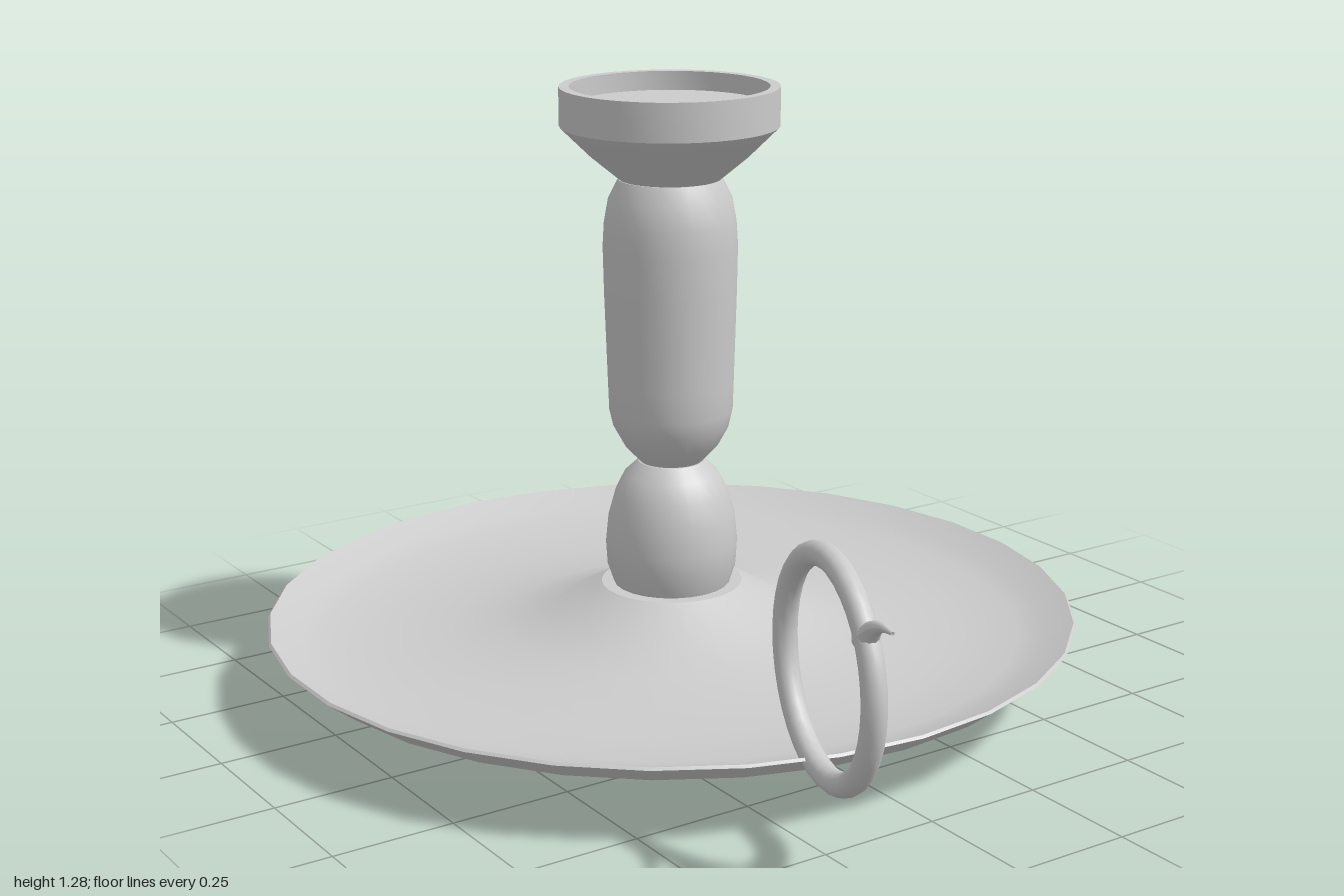
import * as THREE from 'three';
import { toCreasedNormals } from 'three/addons/utils/BufferGeometryUtils.js';

const AXIS_Z = -0.14;

export function createModel() {
  const model = new THREE.Group();
  const material = new THREE.MeshStandardMaterial({ color: 0xcccccc, side: THREE.DoubleSide });

  const add = (name, geometry, parent) => {
    const mesh = new THREE.Mesh(geometry, material);
    mesh.name = name;
    parent.add(mesh);
    return mesh;
  };

  // Turned part from [radius, height] points, bottom to top
  const turned = (name, profile, segments, crease = 0.6) => {
    const points = profile.map(([r, y]) => new THREE.Vector2(r, y));
    const geometry = toCreasedNormals(new THREE.LatheGeometry(points, segments), crease);
    add(name, geometry, model).position.z = AXIS_Z;
  };

  // Saucer with foot, flared rim and raised middle
  turned('dish', [
    [0, 0], [0.335, 0], [0.335, 0.05], [0.805, 0.115], [0.86, 0.158],
    [0.855, 0.163], [0.79, 0.135], [0.74, 0.123], [0.62, 0.115], [0.48, 0.118],
    [0.36, 0.134], [0.25, 0.165], [0.15, 0.22], [0, 0.22],
  ], 30, 0.4);

  // Lower bulb of the stem
  turned('stemBulb', [
    [0, 0.2], [0.122, 0.215], [0.137, 0.26], [0.14, 0.31], [0.134, 0.37],
    [0.12, 0.42], [0.1, 0.46], [0.07, 0.488], [0, 0.495],
  ], 24);

  // Long upper stem
  turned('stemColumn', [
    [0, 0.482], [0.066, 0.488], [0.1, 0.525], [0.122, 0.565], [0.13, 0.6],
    [0.132, 0.66], [0.138, 0.85], [0.14, 0.95], [0.137, 1.0], [0.128, 1.05],
    [0.108, 1.09], [0, 1.1],
  ], 24);

  // Candle cup with a shallow recess
  turned('candleCup', [
    [0, 1.085], [0.105, 1.09], [0.165, 1.14], [0.226, 1.2], [0.226, 1.28],
    [0.205, 1.28], [0.205, 1.24], [0, 1.24],
  ], 36, 0.5);

  // Finger ring with thumb spur; local +x points outward from the dish
  const handle = new THREE.Group();
  handle.name = 'handle';
  handle.position.set(-0.236, 0.355, 0.73);
  handle.rotation.y = -Math.PI / 2 - 0.25;
  model.add(handle);
  add('fingerRing', new THREE.TorusGeometry(0.21, 0.024, 12, 36), handle);

  const path = new THREE.CatmullRomCurve3([
    [0.165, 0.115], [0.198, 0.146], [0.235, 0.163], [0.28, 0.168],
  ].map(([x, y]) => new THREE.Vector3(x, y, 0)));
  const steps = 10, sides = 10;
  const spur = new THREE.TubeGeometry(path, steps, 0.026, sides);
  const position = spur.attributes.position;
  const p = new THREE.Vector3();
  // Taper the tube to a point
  for (let i = 0; i < position.count; i++) {
    const t = Math.floor(i / (sides + 1)) / steps;
    const centre = path.getPointAt(t);
    p.fromBufferAttribute(position, i).sub(centre);
    p.multiplyScalar(0.13 + 0.87 * (1 - t) ** 1.3).add(centre);
    position.setXYZ(i, p.x, p.y, p.z);
  }
  spur.computeVertexNormals();
  add('thumbSpur', spur, handle);

  return model;
}
